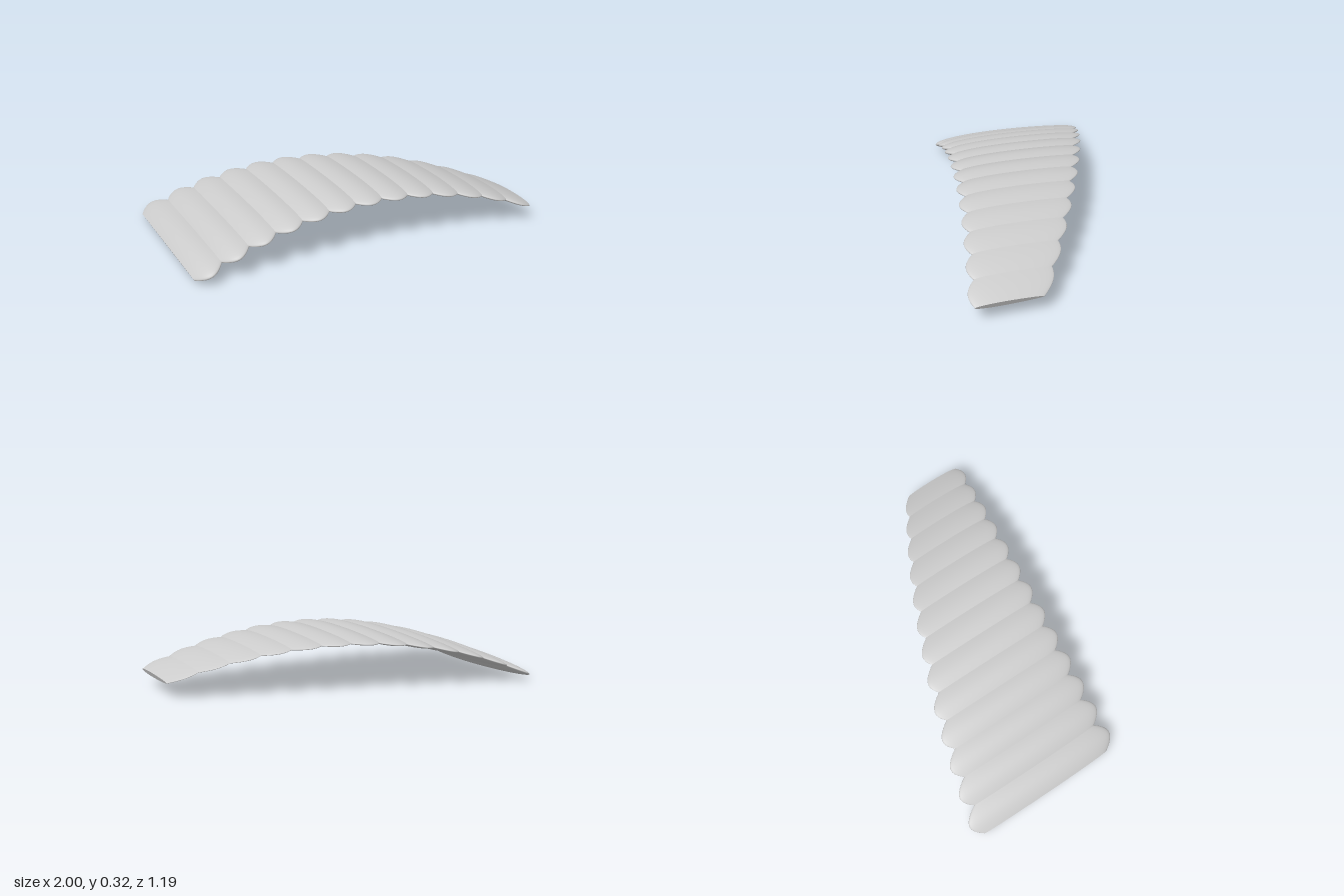
import * as THREE from 'three';

const CELLS = 13, STEPS = 12, SIDES = 64;
const X0 = -0.988, X1 = 0.992;

// Point on the canopy skin: x along the span, bulge 0 (seam) to 1 (cell middle), angle round the section
function skinPoint(x, bulge, angle) {
  const back = -0.26 + 0.3875 * x + 0.1025 * x * x - bulge * (0.047 - 0.024 * x);
  const front = 0.40 + 0.14 * x + 0.04 * x * x + bulge * (0.049 - 0.017 * x);
  const seam = 0.045 - 0.01 * x;
  const full = 0.066 - 0.027 * x;
  const thick = seam + (full - seam) * bulge;

  // arched centre line and its normal
  const y = 0.297 - 0.235 * (x - 0.08) ** 2;
  const slope = -0.47 * (x - 0.08);
  const len = Math.hypot(1, slope);

  // rounded section, fuller at the nose and thinner at the tail
  const c = Math.cos(angle);
  const h = 0.5 * thick * Math.sin(angle) * (1 + 0.22 * c) * 0.98;
  return [x - h * slope / len, y + h / len, (front + back) / 2 + c * (front - back) / 2];
}

function makeGeometry(positions, indices) {
  const g = new THREE.BufferGeometry();
  g.setAttribute('position', new THREE.Float32BufferAttribute(positions, 3));
  g.setIndex(indices);
  g.computeVertexNormals();
  return g;
}

// One puffed cell between two seams
function cellGeometry(xa, xb) {
  const pos = [], idx = [];
  for (let i = 0; i <= STEPS; i++) {
    const t = i / STEPS;
    const bulge = Math.sin(Math.PI * t) ** 0.9;
    for (let j = 0; j < SIDES; j++) {
      pos.push(...skinPoint(xa + (xb - xa) * t, i % STEPS ? bulge : 0, j / SIDES * Math.PI * 2));
    }
  }
  for (let i = 0; i < STEPS; i++) {
    for (let j = 0; j < SIDES; j++) {
      const k = (j + 1) % SIDES;
      const a = i * SIDES + j, b = a + SIDES, c = i * SIDES + k, d = c + SIDES;
      idx.push(a, b, c, b, d, c);
    }
  }
  return makeGeometry(pos, idx);
}

// Flat closing panel at a wing end
function capGeometry(x, side) {
  const pos = [], idx = [];
  for (let j = 0; j < SIDES; j++) pos.push(...skinPoint(x, 0, j / SIDES * Math.PI * 2));
  for (let j = 0; j < SIDES / 2; j++) {
    // strips between the upper and lower halves
    const a = j, b = j + 1, c = (SIDES - j) % SIDES, d = SIDES - j - 1;
    const tris = [[a, b, d], [a, d, c]];
    for (const [p, q, r] of tris) {
      if (p === q || q === r || p === r) continue;
      idx.push(...(side > 0 ? [p, r, q] : [p, q, r]));
    }
  }
  return makeGeometry(pos, idx);
}

export function createModel() {
  const group = new THREE.Group();
  group.name = 'canopy';
  const material = new THREE.MeshStandardMaterial({ color: 0xcccccc });
  const add = (name, geometry) => {
    const mesh = new THREE.Mesh(geometry, material);
    mesh.name = name;
    group.add(mesh);
  };

  // puffed cells side by side along the span
  const width = (X1 - X0) / CELLS;
  for (let i = 0; i < CELLS; i++) {
    add(`cell${i + 1}`, cellGeometry(X0 + i * width, X0 + (i + 1) * width));
  }

  // end panels
  add('rightEndPanel', capGeometry(X0, -1));
  add('leftEndPanel', capGeometry(X1, 1));
  return group;
}
